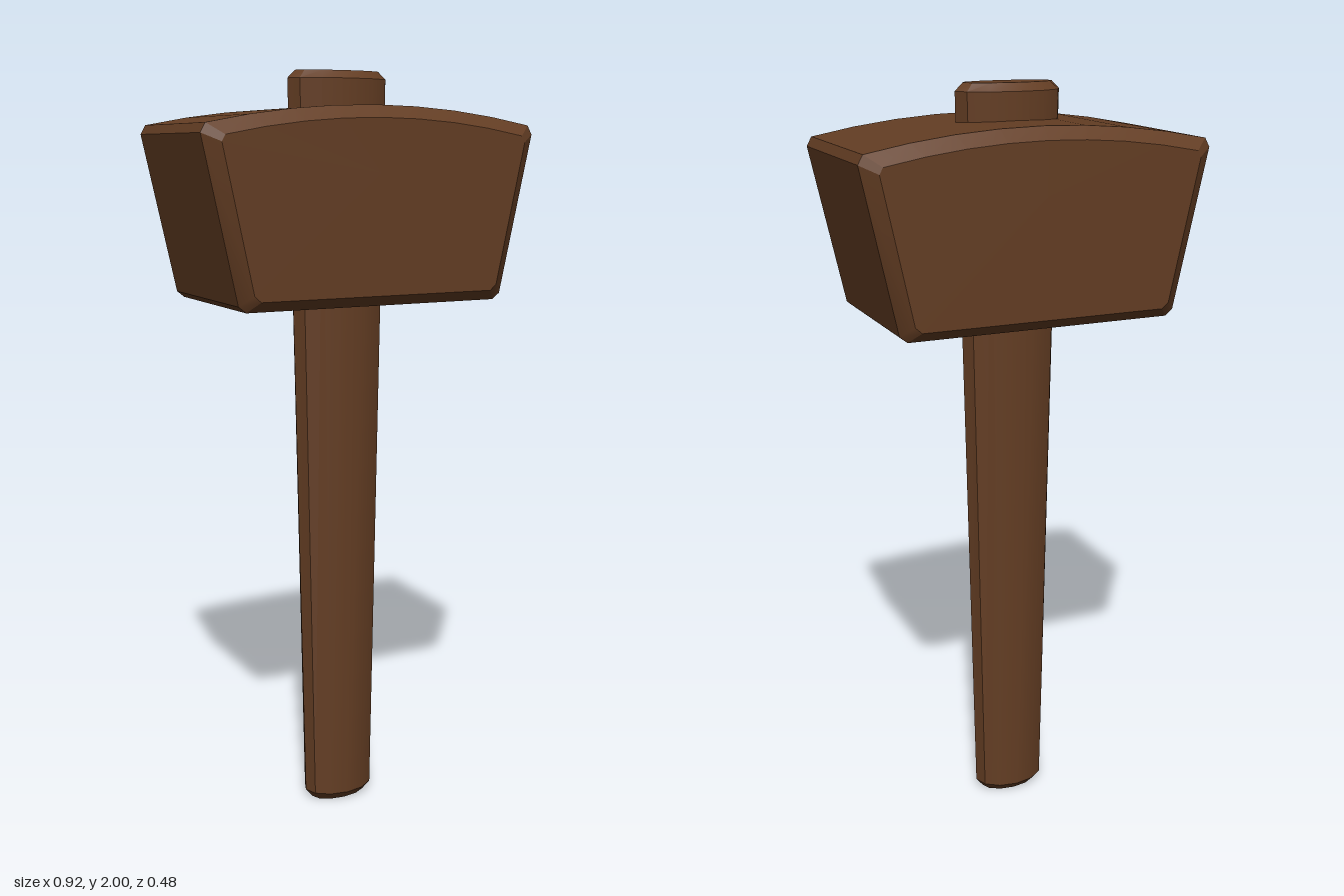
import * as THREE from 'three';
import { toCreasedNormals } from 'three/addons/utils/BufferGeometryUtils.js';

// Skins a stack of closed rings (counter-clockwise seen from the stacking direction) and caps both ends
function loft(rings) {
  const n = rings[0].length;
  const positions = [];
  const tri = (...points) => points.forEach((p) => positions.push(p.x, p.y, p.z));
  const middle = (ring) => ring.reduce((sum, p) => sum.add(p), new THREE.Vector3()).divideScalar(n);
  const first = rings[0];
  const last = rings[rings.length - 1];
  const start = middle(first);
  const end = middle(last);
  for (let j = 0; j < n; j++) {
    const k = (j + 1) % n;
    for (let i = 0; i < rings.length - 1; i++) {
      tri(rings[i][j], rings[i][k], rings[i + 1][k]);
      tri(rings[i][j], rings[i + 1][k], rings[i + 1][j]);
    }
    tri(start, first[k], first[j]);
    tri(end, last[j], last[k]);
  }
  const geometry = new THREE.BufferGeometry();
  geometry.setAttribute('position', new THREE.Float32BufferAttribute(positions, 3));
  return toCreasedNormals(geometry, THREE.MathUtils.degToRad(25));
}

// Flared head outline with clipped corners and an arched top
function headRing(z, right, topHalf, topEdge, peak) {
  const points = right.map(([x, y]) => [x, y]);
  const segments = 8;
  for (let i = 0; i <= segments; i++) {
    const t = 1 - (2 * i) / segments;
    points.push([t * topHalf, peak - (peak - topEdge) * t * t]);
  }
  [...right].reverse().forEach(([x, y]) => points.push([-x, y]));
  return points.map(([x, y]) => new THREE.Vector3(x, y, z));
}

// Twelve-sided oval section of the handle
function handleRing(y, halfX, halfZ) {
  return Array.from({ length: 12 }, (_, i) => {
    const a = (i / 12) * Math.PI * 2;
    return new THREE.Vector3(halfX * Math.cos(a), y, -halfZ * Math.sin(a));
  });
}

export function createModel() {
  const model = new THREE.Group();
  model.name = 'mallet';
  const wood = new THREE.MeshStandardMaterial({ color: 0x633d23 });
  wood.name = 'brown wood';

  const add = (name, rings) => {
    const mesh = new THREE.Mesh(loft(rings), wood);
    mesh.name = name;
    model.add(mesh);
  };

  // Head: full section in the middle, smaller bevelled faces front and back
  const face = (z) => headRing(z, [[0.325, 1.447], [0.342, 1.462], [0.419, 1.822]], 0.41, 1.838, 1.88);
  const body = (z) => headRing(z, [[0.352, 1.42], [0.372, 1.436], [0.46, 1.842]], 0.447, 1.865, 1.911);
  add('head', [face(-0.24), body(-0.21), body(0.21), face(0.24)]);

  // Handle: widens upward through the head, bevelled at both ends
  add('handle', [
    handleRing(0, 0.08, 0.046),
    handleRing(0.025, 0.1, 0.068),
    handleRing(1.98, 0.141, 0.068),
    handleRing(2, 0.12, 0.048),
  ]);

  return model;
}
